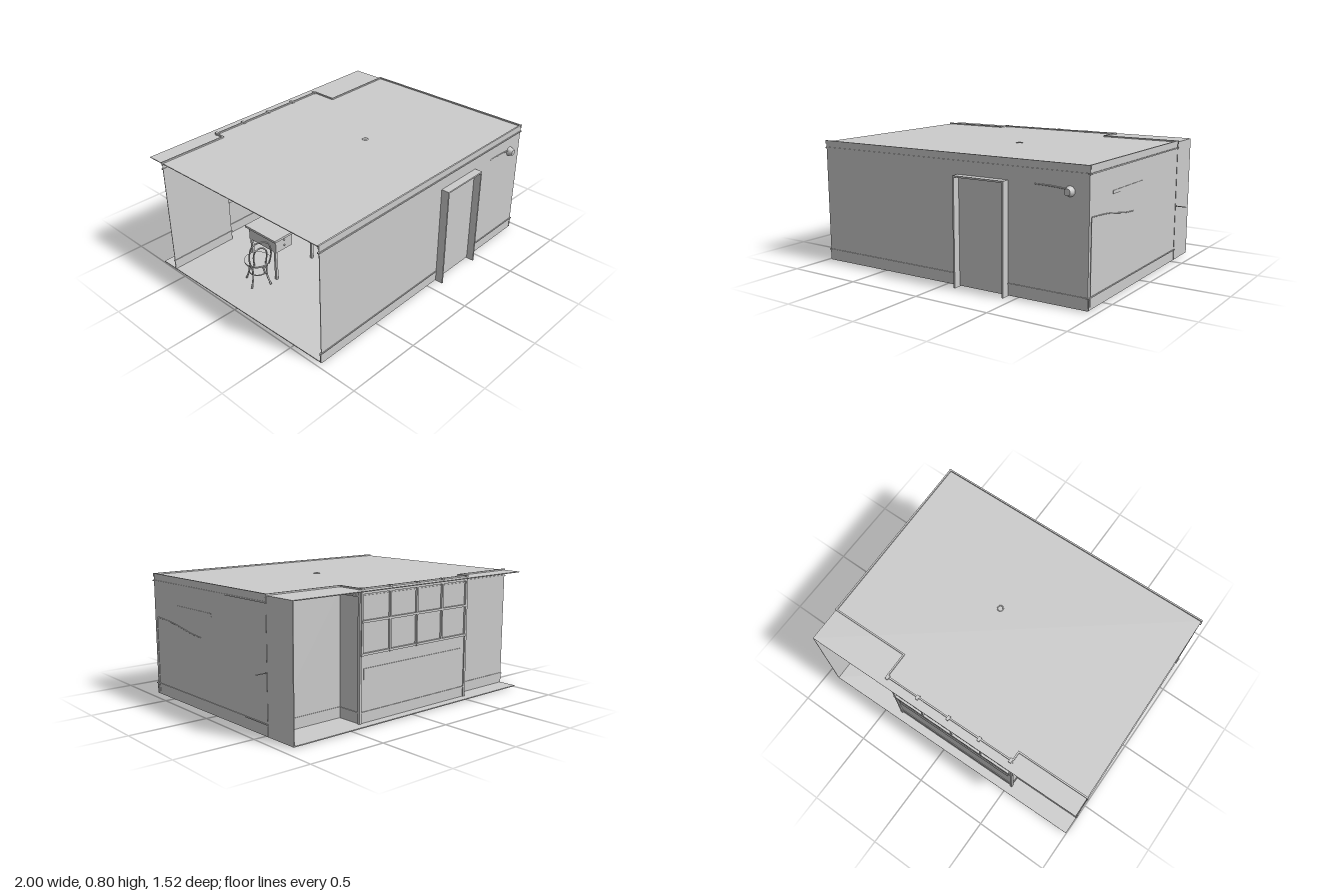
import * as THREE from 'three';

const mat = new THREE.MeshStandardMaterial({ color: 0xcccccc, side: THREE.DoubleSide });
const V = (x, y, z) => new THREE.Vector3(x, y, z);

function add(parent, name, geo, x = 0, y = 0, z = 0) {
  const m = new THREE.Mesh(geo, mat);
  m.name = name;
  m.position.set(x, y, z);
  parent.add(m);
  return m;
}

// Box given by its min and max on each axis
function span(parent, name, x0, x1, y0, y1, z0, z1) {
  return add(parent, name, new THREE.BoxGeometry(x1 - x0, y1 - y0, z1 - z0),
    (x0 + x1) / 2, (y0 + y1) / 2, (z0 + z1) / 2);
}

function tube(parent, name, points, r, closed = false) {
  const curve = new THREE.CatmullRomCurve3(points.map(p => V(...p)), closed);
  return add(parent, name, new THREE.TubeGeometry(curve, 24, r, 8, closed));
}

// Wall segment between two floor points, with optional trim along it
function run(parent, name, [xa, za], [xb, zb], y0, y1, thick) {
  const m = add(parent, name,
    new THREE.BoxGeometry(Math.hypot(xb - xa, zb - za) + thick, y1 - y0, thick),
    (xa + xb) / 2, (y0 + y1) / 2, (za + zb) / 2);
  m.rotation.y = -Math.atan2(zb - za, xb - xa);
  return m;
}

function trim(parent, a, b, base = true) {
  run(parent, 'crownMoulding', a, b, 0.751, 0.759, 0.014);
  run(parent, 'ceilingTrim', a, b, 0.78, 0.802, 0.01);
  if (base) {
    run(parent, 'baseboardCap', a, b, 0.071, 0.078, 0.014);
    run(parent, 'baseboard', a, b, 0.008, 0.071, 0.006);
  }
}

function makeChair() {
  const g = new THREE.Group();
  g.name = 'chair';
  add(g, 'chairSeat', new THREE.CylinderGeometry(0.084, 0.08, 0.014, 28), 0, 0.17, 0);
  const hoop = add(g, 'legHoop', new THREE.TorusGeometry(0.055, 0.004, 8, 28), 0, 0.09, 0);
  hoop.rotation.x = Math.PI / 2;
  for (const sx of [-1, 1]) for (const sz of [-1, 1])
    tube(g, 'chairLeg', [[sx * 0.048, 0.165, sz * 0.048], [sx * 0.045, 0.08, sz * 0.045],
      [sx * 0.062, 0.008, sz * 0.062]], 0.006);
  // Bent back: an outer and an inner loop
  for (const [w, h] of [[0.07, 0.365], [0.042, 0.325]])
    tube(g, 'chairBack', [[-w * 0.85, 0.17, 0.06], [-w, 0.26, 0.08], [-w * 0.7, h - 0.02, 0.095],
      [0, h, 0.1], [w * 0.7, h - 0.02, 0.095], [w, 0.26, 0.08], [w * 0.85, 0.17, 0.06]], 0.005);
  return g;
}

function makeDesk() {
  const g = new THREE.Group();
  g.name = 'desk';
  span(g, 'deskTop', -0.62, -0.12, 0.31, 0.325, -0.28, 0);
  for (const x of [-0.6, -0.28]) {
    span(g, 'drawerUnit', x, x + 0.14, 0.22, 0.31, -0.265, -0.015);
    for (const z of [-0.25, -0.03]) span(g, 'deskLeg', x, x + 0.016, 0.008, 0.31, z - 0.008, z + 0.008);
    for (const y of [0.25, 0.29]) add(g, 'drawerKnob', new THREE.SphereGeometry(0.006, 10, 8), x + 0.07, y, -0.012);
  }
  return g;
}

function makeWindow() {
  const g = new THREE.Group();
  g.name = 'window';
  const x0 = -0.475, x1 = 0.425, z = -0.668;
  for (let i = 0; i <= 4; i++) {
    const x = x0 + (x1 - x0) * i / 4;
    span(g, 'windowBar', x - 0.006, x + 0.006, 0.42, 0.785, z - 0.012, z + 0.012);
    for (const y of [0.42, 0.8])
      add(g, 'barStud', new THREE.BoxGeometry(0.018, 0.012, 0.03), x, y - 0.003, z);
  }
  for (const y of [0.42, 0.61, 0.775])
    span(g, 'windowRail', x0, x1, y - 0.007, y + 0.007, z - 0.014, z + 0.014);
  // Low panel under the sill
  span(g, 'sillPanel', x0 + 0.02, x1 - 0.02, 0.27, 0.335, z - 0.004, z + 0.035);
  return g;
}

export function createModel() {
  const model = new THREE.Group();
  model.name = 'room';
  const room = new THREE.Group();
  room.name = 'roomShell';
  room.position.set(-0.025, 0, -0.017);
  room.rotation.y = 0.018;
  model.add(room);
  const X = 0.96, Z = 0.725;

  // Shell, open on its left-hand end (-x)
  span(room, 'floor', -X, X, 0.004, 0.01, -Z, Z);
  span(room, 'ceiling', -X, X, 0.788, 0.793, -Z, Z);
  span(room, 'rightWall', X - 0.006, X, 0.008, 0.79, -Z, Z);
  span(room, 'frontWall', -X, X, 0.008, 0.79, Z - 0.004, Z);

  // Stepped back wall with a projecting window bay
  const back = [[X, -0.495], [0.432, -0.495], [0.432, -0.665], [-0.485, -0.665], [-0.485, -0.6], [-X, -0.6]];
  for (let i = 0; i < back.length - 1; i++) {
    run(room, 'backWall', back[i], back[i + 1], 0.008, 0.79, 0.004);
    trim(room, back[i], back[i + 1]);
  }
  trim(room, [X - 0.003, Z], [X - 0.003, -0.495]);
  trim(room, [-X, Z - 0.002], [X, Z - 0.002], false);
  for (const [a, b] of [[-X, 0.095], [0.45, X]]) {
    run(room, 'baseboardCap', [a, Z - 0.002], [b, Z - 0.002], 0.071, 0.078, 0.014);
    run(room, 'baseboard', [a, Z - 0.005], [b, Z - 0.005], 0.008, 0.071, 0.008);
  }
  room.add(makeWindow());

  // Corner posts of the bay
  for (const [x, z] of [[0.432, -0.665], [-0.485, -0.665]])
    span(room, 'bayPost', x - 0.008, x + 0.008, 0.008, 0.795, z - 0.01, z + 0.01);

  // Door with its deep casing
  const dx = 0.272, w = 0.176, h = 0.676;
  for (const s of [-1, 1])
    span(room, 'doorJamb', dx + s * (w - 0.005) - 0.005, dx + s * (w - 0.005) + 0.005, 0, h, Z - 0.02, Z + 0.052);
  span(room, 'doorHead', dx - w, dx + w, h - 0.01, h, Z - 0.02, Z + 0.052);
  span(room, 'doorPanel', dx - w + 0.01, dx + w - 0.01, 0.025, h - 0.01, Z - 0.008, Z + 0.003);
  add(room, 'doorKnob', new THREE.SphereGeometry(0.013, 14, 10), dx - 0.13, 0.32, Z - 0.025);

  // Lamp head and arm passing through the front wall
  const lamp = add(room, 'wallLampShade', new THREE.CylinderGeometry(0.02, 0.033, 0.04, 10), 0.842, 0.652, Z + 0.014);
  lamp.rotation.x = Math.PI / 2;
  tube(room, 'wallLampArm', [[0.62, 0.672, Z - 0.002], [0.72, 0.67, Z], [0.84, 0.662, Z + 0.004]], 0.004);

  // Fittings that show through the right wall
  span(room, 'wallShelf', X - 0.12, X + 0.003, 0.605, 0.625, 0.05, 0.45);
  tube(room, 'wallCable', [[X, 0.52, 0.7], [X, 0.505, 0.5], [X, 0.47, 0.28], [X, 0.46, 0.17]], 0.003);
  tube(room, 'wallCableDrop', [[X, 0.52, 0.7], [X, 0.26, 0.7], [X, 0.02, 0.7]], 0.003);
  const rod = add(room, 'rod', new THREE.CylinderGeometry(0.003, 0.003, 0.1, 8), X + 0.026, 0.37, -0.498);
  rod.rotation.z = Math.PI / 2;

  // Bench on two runners by the right wall
  span(room, 'benchTop', 0.72, 0.92, 0.17, 0.185, 0.02, 0.24);
  for (const x of [0.75, 0.89]) {
    span(room, 'benchRunner', x - 0.012, x + 0.012, 0.002, 0.02, 0.03, 0.23);
    span(room, 'benchLeg', x - 0.008, x + 0.008, 0.01, 0.175, 0.12, 0.14);
  }

  // Waste bin
  add(room, 'bin', new THREE.CylinderGeometry(0.065, 0.055, 0.15, 24, 1, true), 0.55, 0.077, 0.58);
  add(room, 'binBase', new THREE.CylinderGeometry(0.056, 0.056, 0.008, 24), 0.55, 0.006, 0.58);

  // Ceiling light
  const rose = add(room, 'ceilingRose', new THREE.TorusGeometry(0.018, 0.004, 8, 20), 0.12, 0.792, 0.09);
  rose.rotation.x = Math.PI / 2;
  add(room, 'ceilingLight', new THREE.CylinderGeometry(0.018, 0.06, 0.04, 24), 0.12, 0.77, 0.09);

  room.add(makeDesk());
  const chair = makeChair();
  chair.position.set(-0.69, 0.008, -0.095);
  chair.rotation.y = -0.45;
  room.add(chair);
  return model;
}
